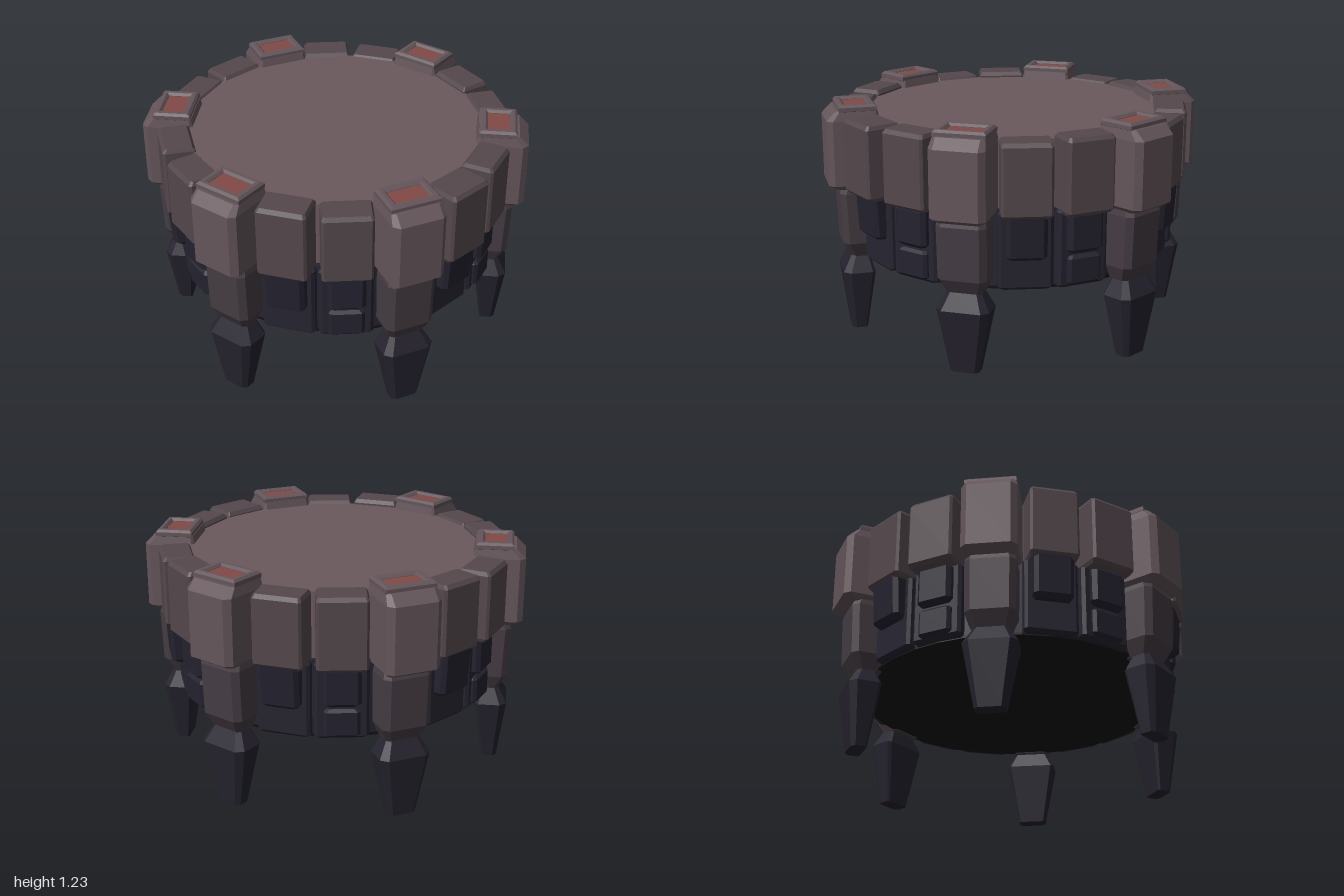
import * as THREE from 'three';

const mat = (color) => new THREE.MeshStandardMaterial({ color, flatShading: true });
const M = {
  top: mat(0x6a595d), block: mat(0x54484d), column: mat(0x64555a), mid: mat(0x453c43),
  panel: mat(0x262430), box: mat(0x24222f), leg: mat(0x25222e), glow: mat(0x824a48), under: mat(0x121114),
};

// Lofts chamfered rectangles; each section is [y, innerRadius, outerRadius, halfWidth, chamfer]
function loft(sections) {
  const rings = sections.map(([y, r0, r1, w, c]) => [
    [-w + c * 0.5, y, r0], [w - c * 0.5, y, r0], [w, y, r0 + c * 0.5],
    [w, y, r1 - c], [w - c, y, r1],
    [-w + c, y, r1], [-w, y, r1 - c], [-w, y, r0 + c * 0.5],
  ]);
  const n = 8, pos = [];
  const tri = (a, b, c) => pos.push(...a, ...b, ...c);
  for (let s = 0; s < rings.length - 1; s++) {
    const lo = rings[s], up = rings[s + 1];
    for (let i = 0; i < n; i++) {
      const j = (i + 1) % n;
      tri(lo[i], up[i], up[j]);
      tri(lo[i], up[j], lo[j]);
    }
  }
  const bottom = rings[0], top = rings[rings.length - 1];
  for (let i = 1; i < n - 1; i++) {
    tri(bottom[0], bottom[i], bottom[i + 1]);
    tri(top[0], top[i + 1], top[i]);
  }
  const g = new THREE.BufferGeometry();
  g.setAttribute('position', new THREE.Float32BufferAttribute(pos, 3));
  g.computeVertexNormals();
  return g;
}

// Box with bevelled top, bottom and outer corners
const bevelBox = (y0, y1, r0, r1, w, b) => loft([
  [y0, r0 + b, r1 - b, w - b, b], [y0 + b, r0, r1, w, b],
  [y1 - b, r0, r1, w, b], [y1, r0 + b, r1 - b, w - b, b],
]);

function add(parent, name, geometry, material) {
  const mesh = new THREE.Mesh(geometry, material);
  mesh.name = name;
  parent.add(mesh);
  return mesh;
}

// Raised rectangular frame around the glowing inset
function frameGeometry() {
  const rect = (P, w, z0, z1) => {
    const p = new P();
    p.moveTo(-w, z0); p.lineTo(w, z0); p.lineTo(w, z1); p.lineTo(-w, z1); p.closePath();
    return p;
  };
  const shape = rect(THREE.Shape, 0.12, -0.925, -0.755);
  shape.holes.push(rect(THREE.Path, 0.1, -0.91, -0.775));
  const g = new THREE.ExtrudeGeometry(shape, {
    depth: 0.02, bevelEnabled: true, bevelThickness: 0.012, bevelSize: 0.012, bevelSegments: 1,
  });
  return g.rotateX(-Math.PI / 2).translate(0, 1.198, 0);
}

function column() {
  const g = new THREE.Group();
  g.name = 'column';
  add(g, 'columnHead', loft([
    [0.785, 0.74, 0.96, 0.115, 0.02], [0.81, 0.73, 1.0, 0.14, 0.03],
    [1.15, 0.73, 1.0, 0.14, 0.03], [1.2, 0.74, 0.95, 0.13, 0.02],
  ]), M.column);
  add(g, 'columnFrame', frameGeometry(), M.column);
  const inset = add(g, 'glowInset', new THREE.BoxGeometry(0.19, 0.02, 0.13), M.glow);
  inset.position.set(0, 1.206, 0.842);
  add(g, 'columnShaft', loft([
    [0.41, 0.77, 0.89, 0.09, 0.02], [0.49, 0.74, 0.935, 0.125, 0.03],
    [0.76, 0.74, 0.945, 0.127, 0.03], [0.79, 0.74, 0.935, 0.12, 0.03],
  ]), M.mid);
  add(g, 'leg', loft([
    [0, 0.82, 0.9, 0.075, 0.02], [0.33, 0.775, 0.94, 0.135, 0.035], [0.42, 0.8, 0.89, 0.085, 0.02],
  ]), M.leg);
  return g;
}

// Rim block with the wall panel and boxes below it
function bay(outer, top, stacked) {
  const g = new THREE.Group();
  g.name = 'bay';
  add(g, 'rimBlock', loft([
    [0.8, 0.77, outer - 0.02, 0.115, 0.01], [0.82, 0.75, outer, 0.125, 0.012],
    [top - 0.02, 0.75, outer, 0.125, 0.012], [top, 0.765, outer - 0.015, 0.115, 0.01],
  ]), M.block);
  add(g, 'wallPanel', bevelBox(0.42, 0.82, 0.7, 0.835, 0.135, 0.015), M.panel);
  if (stacked) {
    add(g, 'upperBox', bevelBox(0.6, 0.81, 0.8, 0.875, 0.095, 0.02), M.box);
    add(g, 'lowerBox', bevelBox(0.435, 0.585, 0.8, 0.86, 0.09, 0.015), M.box);
  } else {
    add(g, 'hangingBox', loft([
      [0.585, 0.8, 0.87, 0.085, 0.02], [0.605, 0.8, 0.893, 0.1, 0.02], [0.81, 0.8, 0.905, 0.1, 0.02],
    ]), M.box);
  }
  return g;
}

export function createModel() {
  const model = new THREE.Group();
  model.name = 'roundPlatform';
  const ring = new THREE.Group();
  ring.name = 'ring';
  ring.position.x = -0.012;
  model.add(ring);

  // Floor, core wall and underside
  const disc = (name, r, y0, y1, m) => {
    add(ring, name, new THREE.CylinderGeometry(r, r, y1 - y0, 36), m).position.y = (y0 + y1) / 2;
  };
  disc('floor', 0.775, 0.8, 1.16, M.top);
  disc('core', 0.8, 0.43, 0.82, M.panel);
  disc('underside', 0.8, 0.415, 0.43, M.under);

  // Six columns, each followed by two bays
  for (let i = 0; i < 18; i++) {
    const kind = i % 3;
    const outer = i === 4 ? 0.945 : 0.92 + 0.004 * Math.sin(i * 2.3);
    const part = kind === 0 ? column() : bay(outer, 1.18 + 0.01 * Math.sin(i * 1.7), kind === 2);
    part.rotation.y = (i * Math.PI) / 9;
    ring.add(part);
  }
  return model;
}
